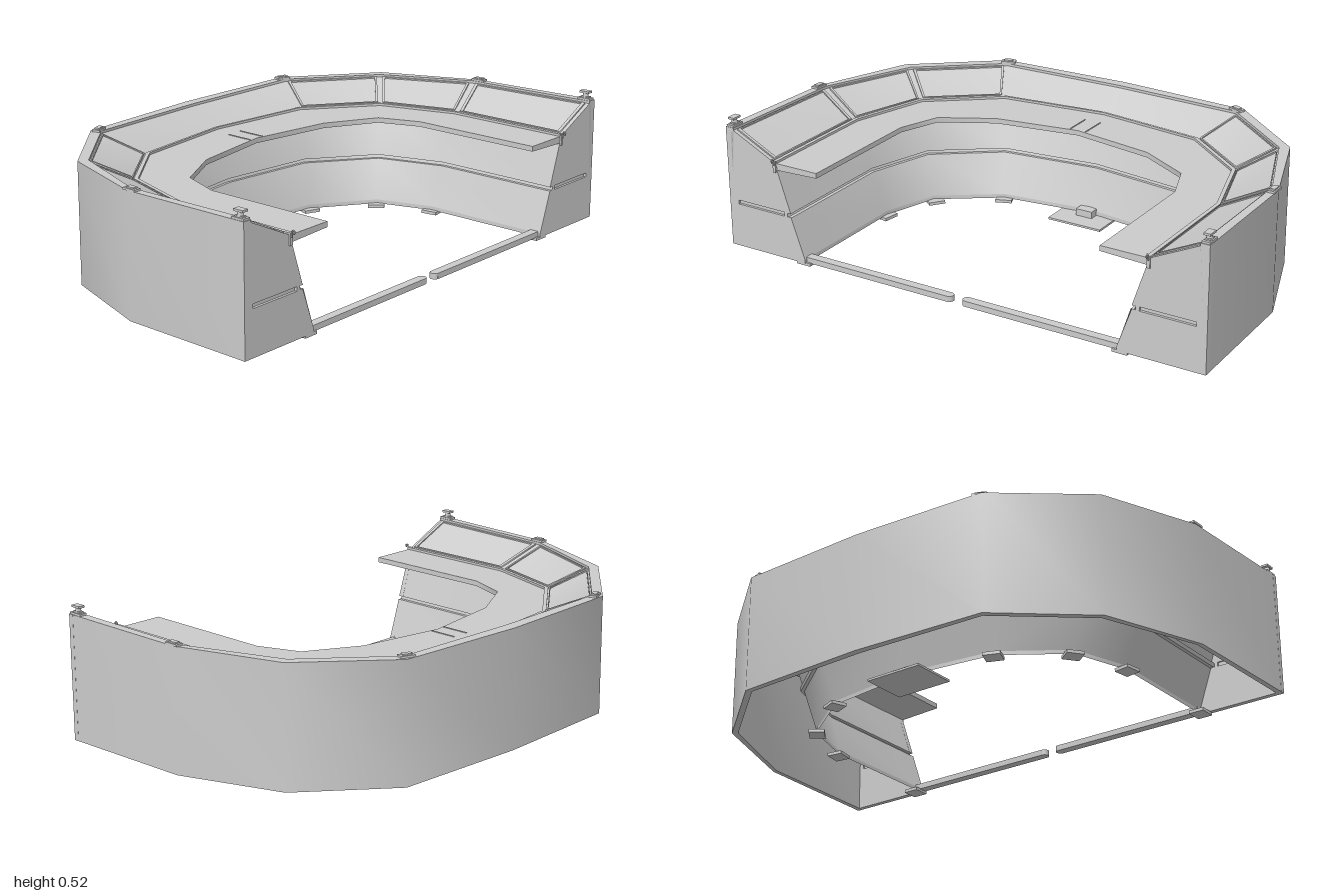
import * as THREE from 'three';

const mat = new THREE.MeshStandardMaterial({ color: 0xcccccc, side: THREE.DoubleSide });

// Half plans [x, z], from the open end round to the middle of the back
const PLAN = {
  outer: [[0.6, 1], [0.06, 0.985], [-0.33, 0.845], [-0.595, 0.53], [-0.62, 0]],
  railIn: [[0.6, 0.965], [0.05, 0.955], [-0.31, 0.81], [-0.56, 0.51], [-0.575, 0]],
  slopeLow: [[0.6, 0.785], [0.1, 0.785], [-0.21, 0.69], [-0.41, 0.43], [-0.46, 0]],
  deskOut: [[0.6, 0.77], [0.1, 0.77], [-0.2, 0.678], [-0.4, 0.42], [-0.45, 0]],
  deskIn: [[0.6, 0.59], [0.07, 0.59], [-0.09, 0.53], [-0.2, 0.33], [-0.255, 0]],
  kickLow: [[0.6, 0.66], [0.08, 0.66], [-0.14, 0.59], [-0.3, 0.36], [-0.345, 0]],
};
const topY = (x) => 0.465 + (x + 0.62) * 0.0155;

// Full ring of points: half plan plus its mirror image
function ring(half, y) {
  const full = [...half, ...half.slice(0, -1).reverse().map(([x, z]) => [x, -z])];
  return full.map(([x, z]) => new THREE.Vector3(x, typeof y === 'function' ? y(x) : y, z));
}
const mix = (a, b, t) => a.map((p, i) => [0, 1].map((k) => p[k] + (b[i][k] - p[k]) * t));

function add(parent, name, geo, x = 0, y = 0, z = 0, ry = 0) {
  const m = new THREE.Mesh(geo, mat);
  m.name = name;
  m.position.set(x, y, z);
  m.rotation.y = ry;
  parent.add(m);
  return m;
}

// Skin between successive rings, smooth along the length and sharp between strips
function loft(parent, name, rings, closed = false) {
  const pos = [], idx = [];
  const list = closed ? [...rings, rings[0]] : rings;
  for (let r = 0; r < list.length - 1; r++) {
    const base = pos.length / 3, n = list[r].length;
    [...list[r], ...list[r + 1]].forEach((p) => pos.push(p.x, p.y, p.z));
    for (let i = 0; i < n - 1; i++) {
      const a = base + i, b = a + n;
      idx.push(a, b, b + 1, a, b + 1, a + 1);
    }
  }
  if (closed) {
    for (const end of [0, rings[0].length - 1]) {
      const base = pos.length / 3;
      rings.forEach((r) => pos.push(r[end].x, r[end].y, r[end].z));
      for (let k = 1; k < rings.length - 1; k++) {
        idx.push(base, ...(end ? [base + k, base + k + 1] : [base + k + 1, base + k]));
      }
    }
  }
  const g = new THREE.BufferGeometry();
  g.setAttribute('position', new THREE.Float32BufferAttribute(pos, 3));
  g.setIndex(idx);
  g.computeVertexNormals();
  return add(parent, name, g);
}

export function createModel() {
  const model = new THREE.Group();
  model.name = 'curvedCounter';

  // Outer wall with its flat top rail
  const wallIn = mix(PLAN.outer, PLAN.railIn, 0.6);
  loft(model, 'outerWall', [
    ring(PLAN.outer, 0.01), ring(PLAN.outer, topY), ring(PLAN.railIn, topY),
    ring(PLAN.railIn, (x) => topY(x) - 0.012), ring(wallIn, (x) => topY(x) - 0.02), ring(wallIn, 0.01),
  ], true);

  // Sloping console and the lip at its foot
  const slopeTop = ring(PLAN.railIn, (x) => topY(x) - 0.01);
  const slopeLow = ring(PLAN.slopeLow, 0.388);
  loft(model, 'consoleSlope', [slopeTop, slopeLow]);
  loft(model, 'consoleLip', [
    ring(PLAN.slopeLow, 0.37), ring(PLAN.slopeLow, 0.394), ring(PLAN.deskOut, 0.394), ring(PLAN.deskOut, 0.37),
  ], true);

  // Desk slab
  loft(model, 'desk', [
    ring(PLAN.deskOut, 0.385), ring(PLAN.deskIn, 0.385), ring(PLAN.deskIn, 0.365), ring(PLAN.deskOut, 0.358),
  ], true);

  // Kick panels leaning inward, split by a groove
  const kick = (y, back = 0) => ring(mix(mix(PLAN.deskOut, PLAN.kickLow, (0.358 - y) / 0.335), PLAN.outer, back), y);
  loft(model, 'kickPanel', [
    kick(0.358), kick(0.196), kick(0.196, 0.05), kick(0.182, 0.05), kick(0.182), kick(0.025), ring(PLAN.kickLow, 0.01),
  ]);

  // Raised panels on the slope
  const total = slopeTop.length - 1;
  for (const seg of [0, 1, 2, total - 3, total - 2, total - 1]) {
    const corner = (u, v, lift) => {
      const a = slopeTop[seg].clone().lerp(slopeTop[seg + 1], u);
      const b = slopeLow[seg].clone().lerp(slopeLow[seg + 1], u);
      const p = a.lerp(b, v);
      p.y += lift;
      return p;
    };
    const loop = (m, lift) => [[m, m], [1 - m, m], [1 - m, 1 - m], [m, 1 - m], [m, m]]
      .map(([u, v]) => corner(u, v, lift));
    loft(model, 'consolePanelFrame', [loop(0.03, 0), loop(0.03, 0.006), loop(0.055, 0.006), loop(0.055, 0.001)]);
  }

  for (const s of [1, -1]) {
    const side = new THREE.Group();
    side.name = s > 0 ? 'leftArmFittings' : 'rightArmFittings';
    model.add(side);

    // End panel with a long slot
    const shape = new THREE.Shape([
      [1, 0.01], [0.66, 0.01], [0.66, 0.025], [0.716, 0.182], [0.731, 0.182], [0.731, 0.196], [0.716, 0.196],
      [0.77, 0.358], [0.785, 0.388], [0.965, 0.474], [1, topY(0.6)],
    ].map(([z, y]) => new THREE.Vector2(s * z, y)));
    shape.holes.push(new THREE.Path([[0.96, 0.181], [0.96, 0.197], [0.745, 0.197], [0.745, 0.181]]
      .map(([z, y]) => new THREE.Vector2(s * z, y))));
    const end = new THREE.ExtrudeGeometry(shape, { depth: 0.02, bevelEnabled: false });
    end.rotateY(-Math.PI / 2);
    add(side, 'endPanel', end, 0.6);
    add(side, 'slotBacking', new THREE.BoxGeometry(0.004, 0.03, 0.23), 0.588, 0.189, s * 0.852);

    // Threshold bar across the opening
    add(side, 'floorBar', new THREE.BoxGeometry(0.035, 0.022, 0.63), 0.572, 0.02, s * 0.35);
    add(side, 'floorBarCap', new THREE.CylinderGeometry(0.0175, 0.0175, 0.022, 16), 0.572, 0.02, s * 0.038);

    // Rail fittings
    for (const [x, z, ry] of [[0.07, 0.973, 0.03], [-0.573, 0.51, 1.2], [0.57, 0.982, 0]]) {
      add(side, 'railClipBase', new THREE.BoxGeometry(0.055, 0.008, 0.03), x, topY(x) + 0.004, s * z, s * -ry);
      add(side, 'railClipTop', new THREE.BoxGeometry(0.035, 0.006, 0.02), x, topY(x) + 0.01, s * z, s * -ry);
    }
    add(side, 'postStem', new THREE.CylinderGeometry(0.009, 0.012, 0.025, 12), 0.57, 0.5, s * 0.982);
    add(side, 'postHead', new THREE.BoxGeometry(0.04, 0.008, 0.026), 0.57, 0.514, s * 0.982);

    // Hook at the desk end
    const hook = new THREE.CatmullRomCurve3([
      [0.585, 0.388], [0.606, 0.38], [0.608, 0.392], [0.612, 0.403], [0.619, 0.4], [0.617, 0.39],
    ].map(([x, y]) => new THREE.Vector3(x, y, s * 0.778)));
    add(side, 'deskHook', new THREE.TubeGeometry(hook, 20, 0.003, 6));
    add(side, 'hookPlate', new THREE.BoxGeometry(0.006, 0.045, 0.012), 0.603, 0.372, s * 0.778);

    // Feet under the kick panel, and the cable strip on the desk
    for (const [x, z, ry] of [[0.565, 0.67, 0], [0.08, 0.665, 0.15], [-0.14, 0.585, 0.65], [-0.3, 0.36, 1.2]]) {
      add(side, 'foot', new THREE.BoxGeometry(0.065, 0.012, 0.06), x, 0.006, s * z, s * -ry);
    }
    add(side, 'deskSeam', new THREE.BoxGeometry(0.11, 0.003, 0.004), -0.31, 0.386, s * 0.033);
  }

  // Wide foot plate in the middle of the back
  add(model, 'backFootPlate', new THREE.BoxGeometry(0.18, 0.008, 0.23), -0.32, 0.004, 0);
  add(model, 'backFootBlock', new THREE.BoxGeometry(0.06, 0.03, 0.07), -0.335, 0.02, 0);

  return model;
}
